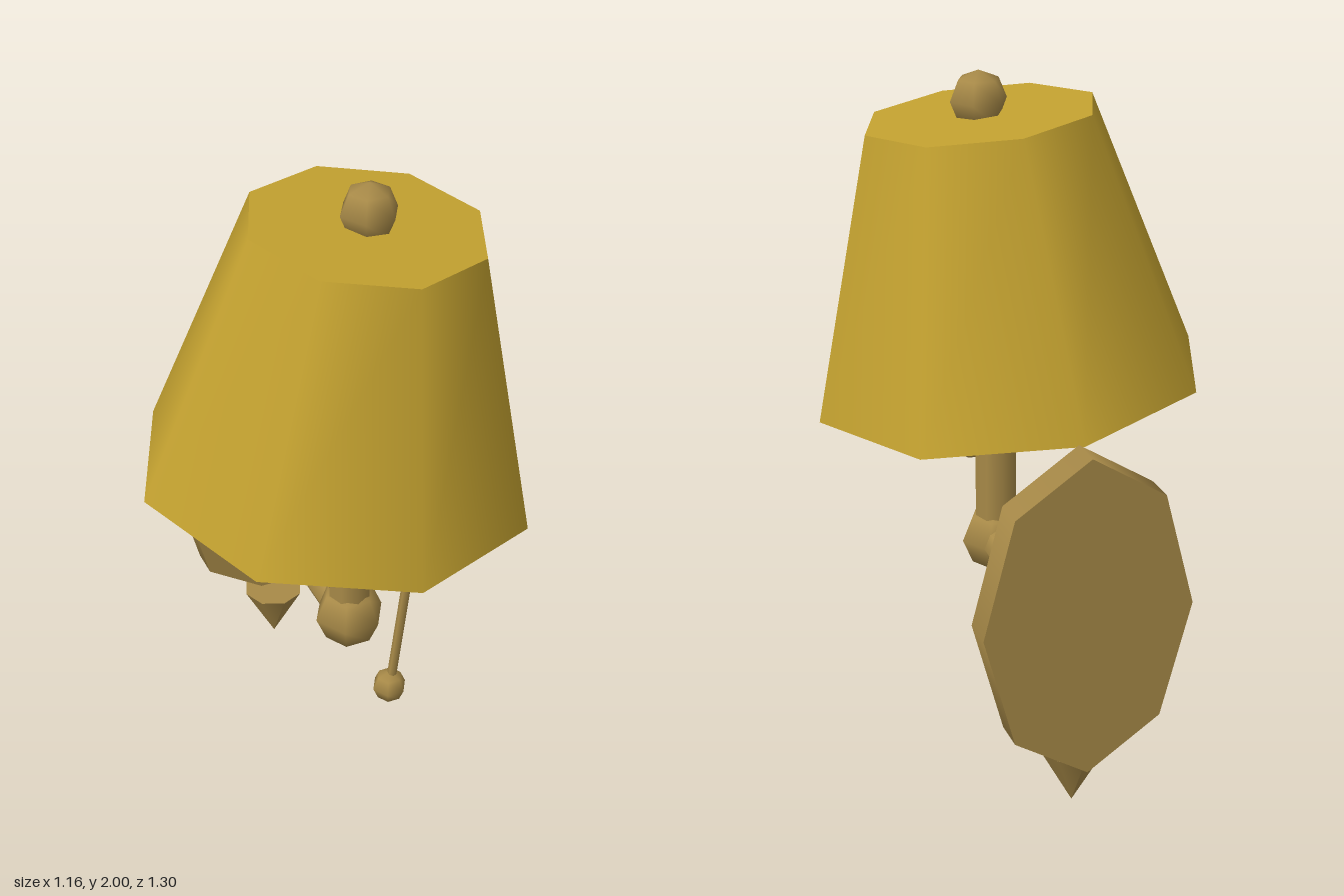
import * as THREE from 'three';

export function createModel() {
  const model = new THREE.Group();
  model.name = 'wallLamp';

  const shadeGold = new THREE.MeshStandardMaterial({ color: 0xc4a230 });
  shadeGold.name = 'shadeGold';
  const brass = new THREE.MeshStandardMaterial({ color: 0xa88a48 });
  brass.name = 'brass';

  const UP = new THREE.Vector3(0, 1, 0);
  const v = (x, y, z) => new THREE.Vector3(x, y, z);

  function add(name, geometry, material, position) {
    const mesh = new THREE.Mesh(geometry, material);
    mesh.name = name;
    mesh.position.copy(position);
    model.add(mesh);
    return mesh;
  }

  // Tapered cylinder running from point a to point b
  function rod(name, a, b, ra, rb, sides, material = brass) {
    const dir = b.clone().sub(a);
    const mesh = add(name, new THREE.CylinderGeometry(rb, ra, dir.length(), sides),
      material, a.clone().add(b).multiplyScalar(0.5));
    mesh.quaternion.setFromUnitVectors(UP, dir.normalize());
    return mesh;
  }

  const ball = (name, r, p) => add(name, new THREE.SphereGeometry(r, 6, 4), brass, p);

  const elbow = v(0.035, 0.555, 0.09);
  const mount = v(0.035, 0.555, -0.53);

  // Wall plate: an octagon stretched upwards
  const plateGeometry = new THREE.CylinderGeometry(1, 1, 0.095, 8).rotateX(Math.PI / 2);
  add('wallPlate', plateGeometry, brass, v(0.035, 0.652, -0.6025)).scale.set(0.307, 0.487, 1);

  // Pointed drop beneath the plate
  const drop = add('plateDrop', new THREE.ConeGeometry(0.098, 0.188, 8), brass, v(0.035, 0.094, -0.535));
  drop.rotation.x = Math.PI;

  // Arm, joints and upright
  ball('mountJoint', 0.108, mount);
  ball('elbowJoint', 0.108, elbow);
  rod('arm', mount, elbow, 0.065, 0.065, 8);
  rod('upright', elbow, v(0.035, 1.05, 0.09), 0.065, 0.065, 8);
  rod('socket', v(0.04, 0.963, 0.085), v(0.04, 1.12, 0.085), 0.122, 0.235, 8);

  // Tilted closed shade with its finial
  rod('shade', v(0, 1.0825, 0.065), v(0.07, 1.876, 0.104), 0.582, 0.338, 8, shadeGold);
  ball('finial', 0.084, v(0.075, 1.916, 0.106));

  // Pull cord with end ball
  rod('pullCord', v(-0.04, 0.66, 0.54), v(0, 1.1, 0.562), 0.013, 0.013, 6);
  ball('pullBall', 0.049, v(-0.043, 0.656, 0.54));

  return model;
}
